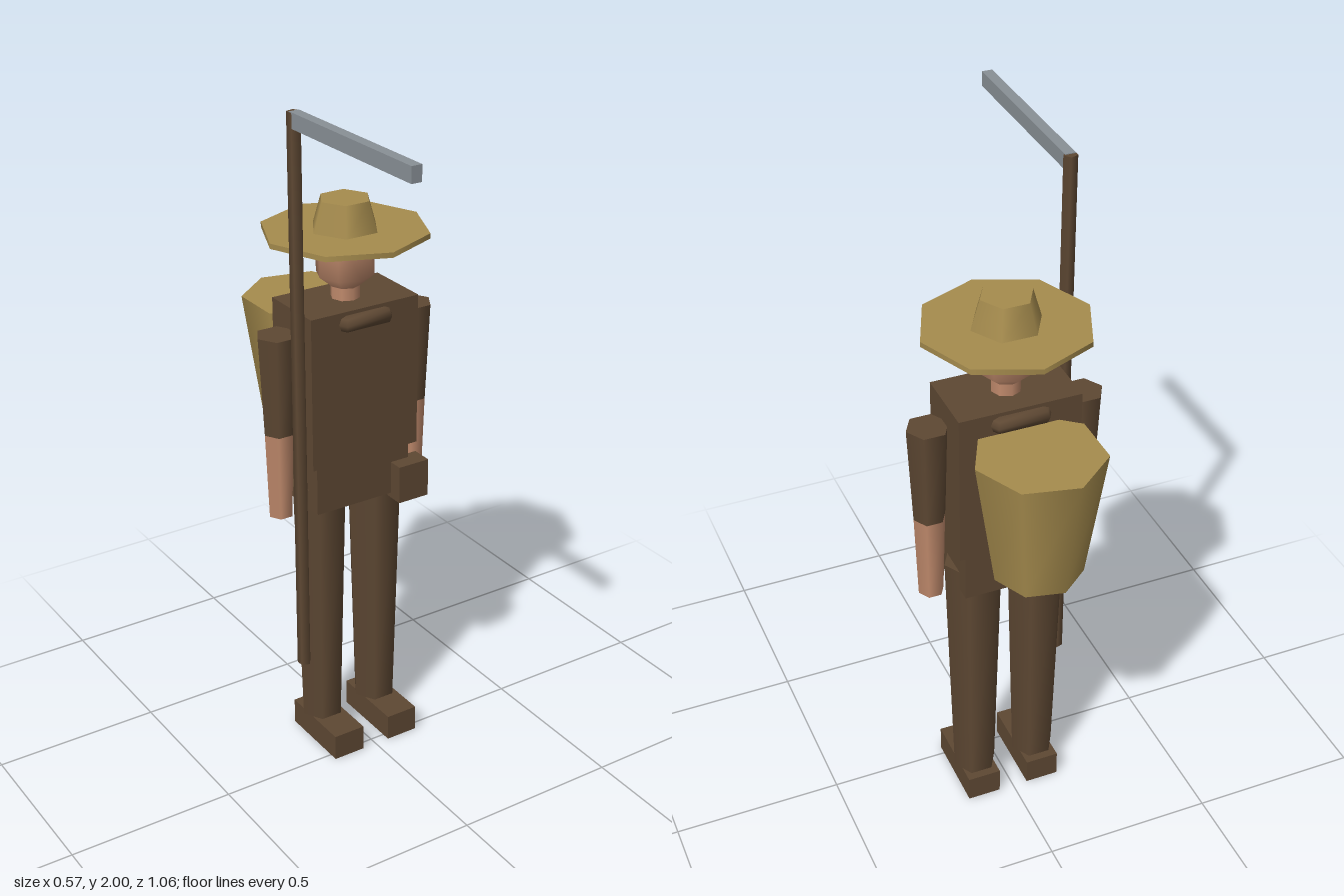
import * as THREE from 'three';

const material = (name, color) => {
  const m = new THREE.MeshStandardMaterial({ color });
  m.name = name;
  return m;
};

export function createModel() {
  const model = new THREE.Group();
  model.name = 'fieldWorker';
  const brown = material('brownCloth', 0x5e4833);
  const skin = material('skin', 0xc08a6c);
  const straw = material('straw', 0xa68c4e);
  const metal = material('greyMetal', 0x899096);
  const bodyZ = -0.13;

  const add = (name, geometry, mat, x, y, z) => {
    const mesh = new THREE.Mesh(geometry, mat);
    mesh.name = name;
    mesh.position.set(x, y, z);
    model.add(mesh);
    return mesh;
  };
  // Box given by its bottom and top heights
  const box = (name, mat, w, d, y0, y1, x, z) =>
    add(name, new THREE.BoxGeometry(w, y1 - y0, d), mat, x, (y0 + y1) / 2, z);
  // Tapered few-sided post with a corner facing +x
  const post = (name, mat, sides, rBottom, rTop, y0, y1, x, z) =>
    add(name, new THREE.CylinderGeometry(rTop, rBottom, y1 - y0, sides, 1, false, Math.PI / 2),
      mat, x, (y0 + y1) / 2, z);

  // Trunk
  box('torso', brown, 0.35, 0.205, 0.96, 1.415, 0, bodyZ);
  box('hips', brown, 0.31, 0.18, 0.81, 0.96, 0, bodyZ);
  box('beltPouch', brown, 0.1, 0.065, 0.795, 0.91, 0.145, -0.028);

  // Limbs, mirrored
  for (const [side, s] of [['left', 1], ['right', -1]]) {
    post(side + 'Leg', brown, 6, 0.065, 0.087, 0.08, 0.87, s * 0.095, bodyZ);
    box(side + 'Foot', brown, 0.1, 0.237, 0, 0.08, s * 0.095, -0.092);
    post(side + 'Sleeve', brown, 6, 0.046, 0.06, 1.055, 1.35, s * 0.223, bodyZ);
    post(side + 'Forearm', skin, 6, 0.037, 0.046, 0.795, 1.055, s * 0.223, bodyZ);
  }

  // Collar, neck and head
  const collar = add('collar', new THREE.TorusGeometry(0.12, 0.025, 8, 6), brown, 0, 1.38, bodyZ);
  collar.rotation.x = Math.PI / 2;
  post('neck', skin, 8, 0.042, 0.042, 1.4, 1.47, 0, bodyZ);
  const head = add('head', new THREE.SphereGeometry(0.096, 8, 3), skin, 0, 1.555, bodyZ);
  head.scale.y = 1.45;

  // Hat
  post('hatBrim', straw, 8, 0.237, 0.237, 1.6, 1.615, 0, bodyZ);
  post('hatCrown', straw, 6, 0.101, 0.074, 1.61, 1.7, 0, bodyZ);

  // Basket on the back
  post('basket', straw, 7, 0.125, 0.18, 0.97, 1.35, 0, -0.353);

  // Scythe
  post('scythePole', brown, 5, 0.02, 0.02, 0.35, 1.998, -0.22, -0.02);
  box('scytheBlade', metal, 0.03, 0.547, 1.957, 2, -0.22, 0.2535);

  return model;
}
